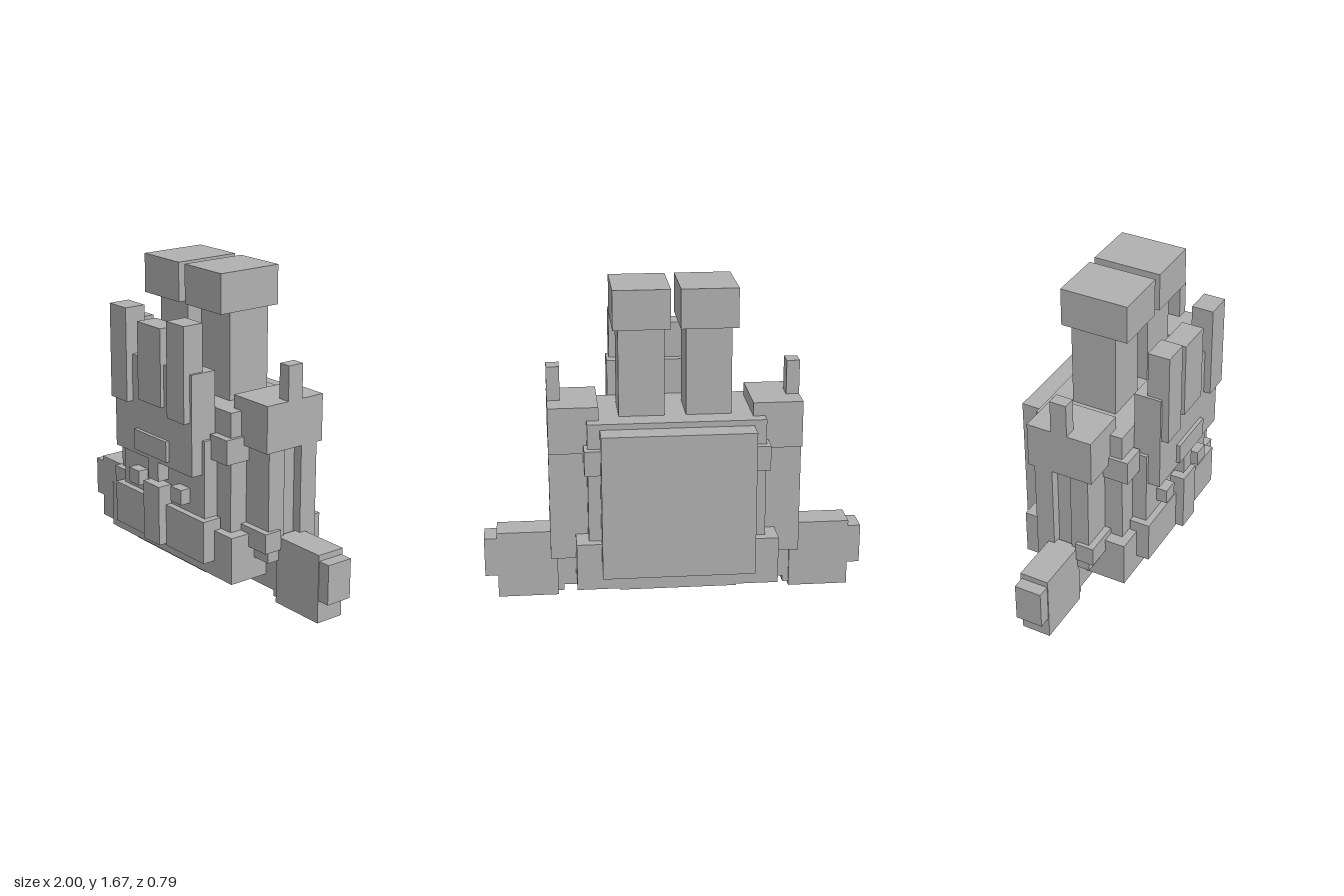
import * as THREE from 'three';

export function createModel() {
  const group = new THREE.Group();
  group.name = 'blockRobot';
  const grey = new THREE.MeshStandardMaterial({ color: 0xb0b0b0 });
  grey.name = 'plain grey';

  // Box given by its low and high limits on each axis
  function box(name, x0, x1, y0, y1, z0, z1) {
    const mesh = new THREE.Mesh(new THREE.BoxGeometry(x1 - x0, y1 - y0, z1 - z0), grey);
    mesh.position.set((x0 + x1) / 2, (y0 + y1) / 2, (z0 + z1) / 2);
    mesh.name = name;
    group.add(mesh);
  }
  // The same box on both sides
  function pair(name, x0, x1, ...rest) {
    box(name + 'Left', x0, x1, ...rest);
    box(name + 'Right', -x1, -x0, ...rest);
  }
  // Box centred on x = 0
  const middle = (name, halfWidth, ...rest) => box(name, -halfWidth, halfWidth, ...rest);

  // Torso, base and back
  middle('torso', 0.457, 0.3, 1.0, -0.275, 0.215);
  middle('base', 0.522, 0.12, 0.37, -0.325, 0.26);
  middle('basePlate', 0.302, 0.11, 0.13, -0.32, 0.25);
  middle('backPack', 0.393, 0.205, 0.97, -0.395, -0.27);
  pair('sideLug', 0.34, 0.475, 0.74, 0.87, -0.315, 0.255);

  // Front of the torso
  middle('frontPanel', 0.347, 0.37, 0.84, 0.2, 0.295);
  middle('chestPlate', 0.328, 0.66, 1.19, 0.215, 0.36);
  middle('chestTooth', 0.043, 0.555, 0.67, 0.28, 0.36);
  middle('chestBar', 0.138, 0.69, 0.8, 0.35, 0.38);
  middle('frontBumper', 0.383, 0.205, 0.43, 0.22, 0.33);
  middle('buckle', 0.068, 0.215, 0.535, 0.28, 0.375);
  pair('stud', 0.14, 0.228, 0.48, 0.56, 0.28, 0.353);

  // Upright prongs
  middle('centreProng', 0.098, 0.97, 1.38, 0.262, 0.38);
  pair('sideProng', 0.172, 0.313, 0.94, 1.437, 0.28, 0.397);

  // Stacks
  pair('stackPost', 0.055, 0.29, 0.98, 1.47, -0.155, 0.09);
  pair('stackCap', 0.025, 0.318, 1.462, 1.667, -0.195, 0.17);

  // Arms
  pair('shoulder', 0.395, 0.653, 0.825, 1.07, -0.21, 0.148);
  pair('antenna', 0.585, 0.653, 1.06, 1.25, -0.075, 0.015);
  pair('frontArmColumn', 0.44, 0.632, 0.235, 0.83, 0.015, 0.115);
  pair('backArmColumn', 0.44, 0.653, 0.235, 0.83, -0.175, -0.075);
  pair('armCore', 0.44, 0.6, 0.235, 0.83, -0.08, 0.02);
  pair('elbowLug', 0.46, 0.653, 0.3, 0.405, 0.05, 0.15);
  pair('wristBlock', 0.407, 0.593, 0.052, 0.24, -0.1, 0.035);
  pair('wristPlate', 0.585, 0.625, 0.02, 0.24, -0.1, 0.035);
  pair('fist', 0.617, 0.933, 0, 0.362, -0.11, 0.047);
  pair('fistTip', 0.925, 1.0, 0.12, 0.33, -0.103, 0.043);

  return group;
}
